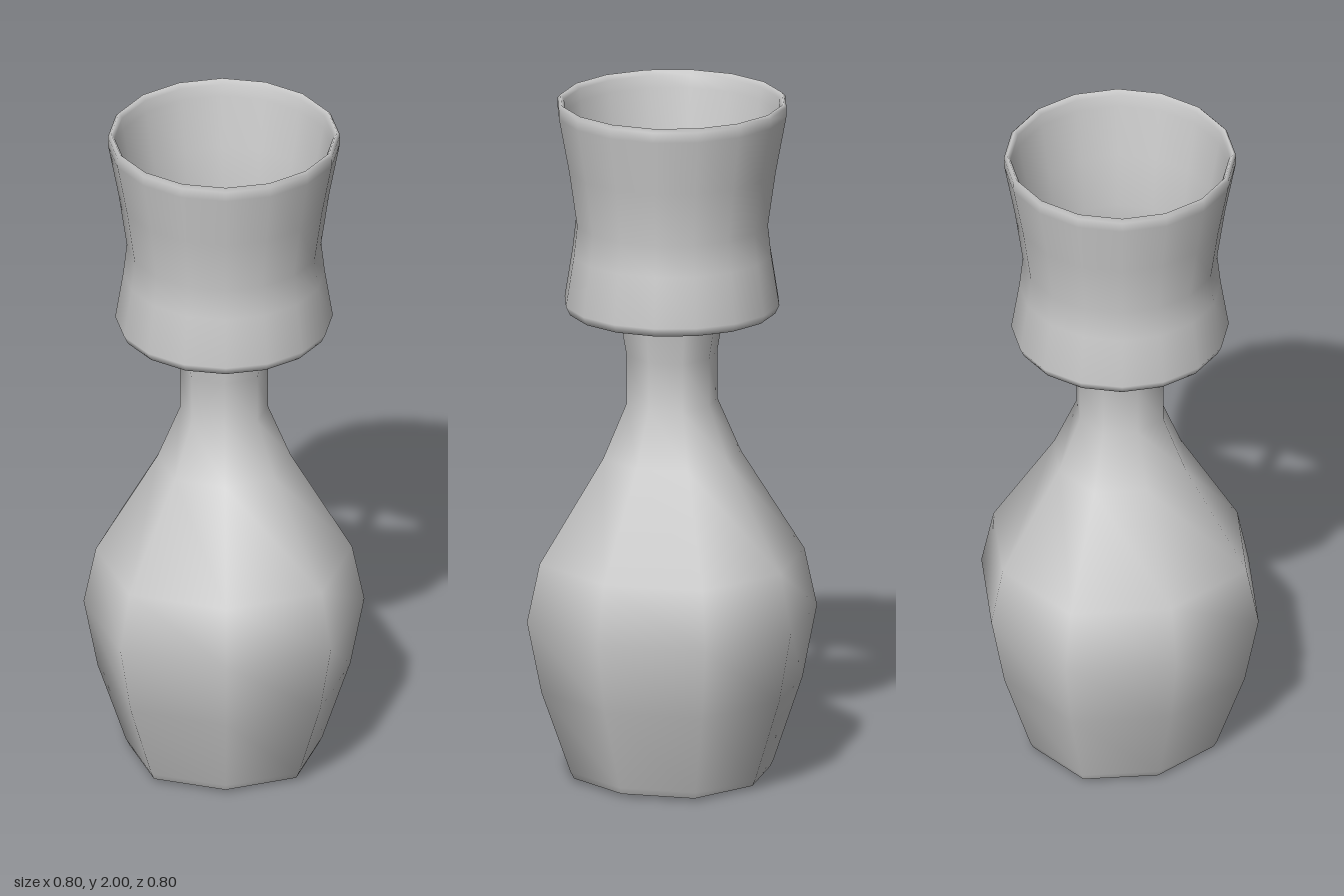
import * as THREE from 'three';

const material = new THREE.MeshStandardMaterial({ color: 0xcccccc });

// Turned part from [radius, height] pairs; a closed profile runs up the outside, down the inside
function turned(name, profile, sides, diagonalScale = 1) {
  const points = profile.map(([r, y]) => new THREE.Vector2(r, y));
  const geometry = new THREE.LatheGeometry(points, sides);
  const pos = geometry.attributes.position;
  // Push the diagonal corners out a little to square the section
  for (let i = 0; i < pos.count; i++) {
    const x = pos.getX(i), z = pos.getZ(i);
    if (Math.abs(x) > 1e-4 && Math.abs(z) > 1e-4) {
      pos.setX(i, x * diagonalScale);
      pos.setZ(i, z * diagonalScale);
    }
  }
  const mesh = new THREE.Mesh(geometry, material);
  mesh.name = name;
  return mesh;
}

export function createModel() {
  const model = new THREE.Group();
  model.name = 'bottleWithCup';

  // Eight-sided bottle
  const bottle = new THREE.Group();
  bottle.name = 'bottle';
  bottle.add(
    turned('bottleBase', [[0, 0], [0.27, 0.01]], 8, 1.05),
    turned('bottleBody', [
      [0.27, 0.01], [0.28, 0.03], [0.36, 0.27], [0.4, 0.48], [0.365, 0.65],
      [0.19, 0.95], [0.125, 1.11], [0.125, 1.25], [0.153, 1.42],
    ], 8, 1.06),
    turned('bottleTop', [[0.153, 1.42], [0, 1.42]], 8, 1.06)
  );
  model.add(bottle);

  // Domed stopper
  const dome = [];
  for (let i = 0; i <= 6; i++) {
    const a = (i / 6) * Math.PI / 2;
    dome.push([0.11 * Math.cos(a), 1.42 + 0.11 * Math.sin(a)]);
  }
  model.add(turned('stopper', dome, 8, 1.06));

  // Flared open cup with rounded lips
  model.add(turned('cup', [
    [0.287, 1.39], [0.298, 1.38], [0.31, 1.405], [0.287, 1.55], [0.277, 1.64],
    [0.3, 1.8], [0.33, 1.96], [0.331, 1.99], [0.322, 2], [0.312, 1.985],
    [0.308, 1.95], [0.28, 1.8], [0.259, 1.64], [0.267, 1.55], [0.287, 1.39],
  ], 16));

  // Ring inside the cup
  model.add(turned('ring', [
    [0.222, 1.5], [0.248, 1.5], [0.257, 1.52], [0.255, 1.55], [0.236, 1.57],
    [0.215, 1.55], [0.213, 1.52], [0.222, 1.5],
  ], 16));

  // Three sloping spokes from stopper to ring
  for (let i = 0; i < 3; i++) {
    const arm = new THREE.Group();
    arm.name = 'spoke' + (i + 1);
    arm.rotation.y = THREE.MathUtils.degToRad(75 + 120 * i);
    const bar = new THREE.Mesh(new THREE.BoxGeometry(0.16, 0.025, 0.045), material);
    bar.name = 'spokeBar';
    bar.position.set(0.16, 1.478, 0);
    bar.rotation.z = 0.55;
    arm.add(bar);
    model.add(arm);
  }
  return model;
}
